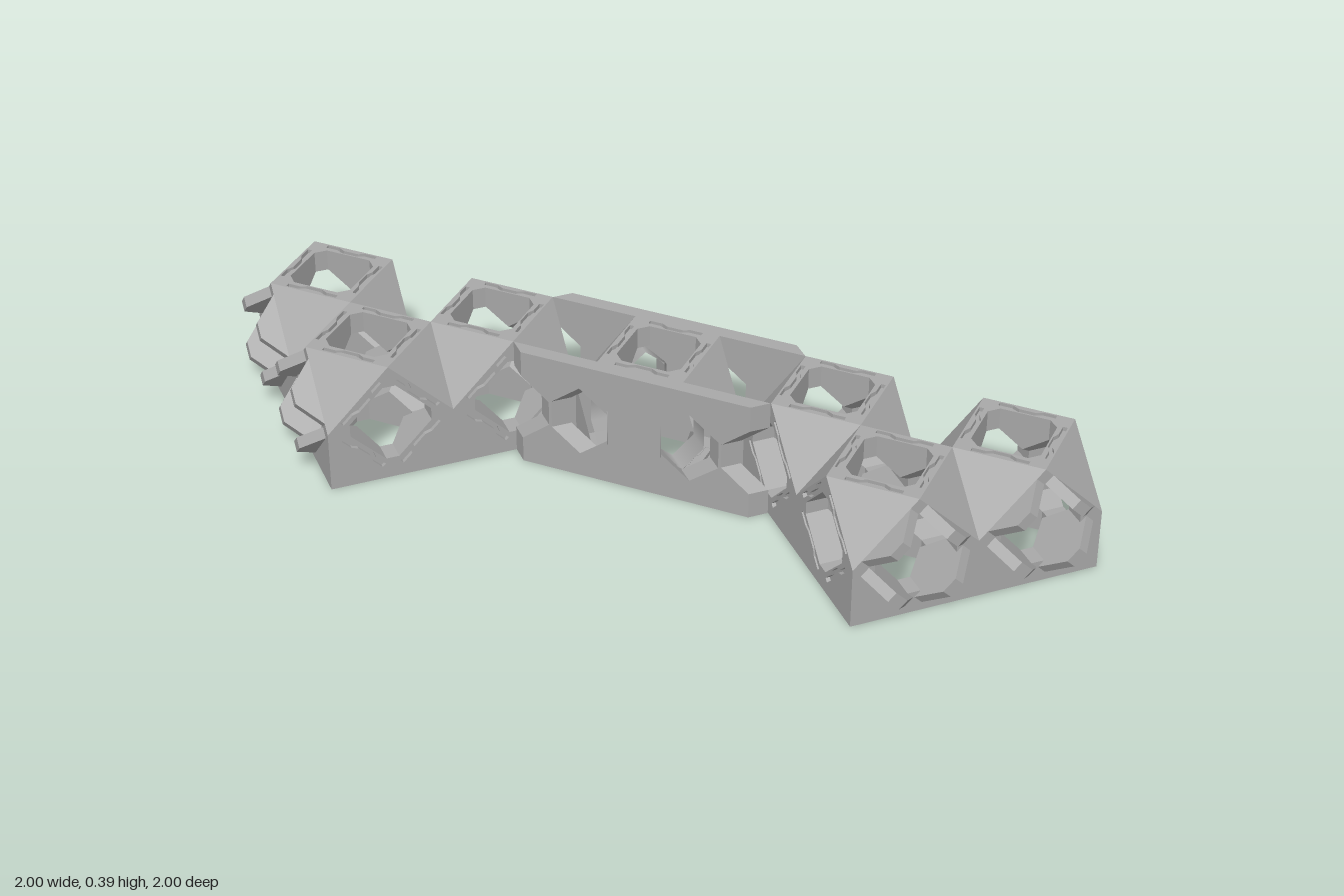
import * as THREE from 'three';

const H = 0.193;            // half width of a cell
const D = 0.145, C = 0.125; // tunnel section: |x|+|y| < D with its tips cut at C
const T = D - C;
const WALL = 0.044;         // side wall thickness

const grey = new THREE.MeshStandardMaterial({ color: 0xa8a8a8, side: THREE.DoubleSide });
grey.name = 'grey';

// Flat-sided surface from convex polygons
function polys(list) {
  const pos = [];
  for (const p of list)
    for (let i = 1; i < p.length - 1; i++) pos.push(...p[0], ...p[i], ...p[i + 1]);
  const g = new THREE.BufferGeometry();
  g.setAttribute('position', new THREE.Float32BufferAttribute(pos, 3));
  g.computeVertexNormals();
  return g;
}

const pts = (a) => a.map(([x, y]) => new THREE.Vector2(x, y));
const quarter = ([x, y], k) => [[x, y], [-y, x], [-x, -y], [y, -x]][k];

// Diamond frame outline with an eight-sided opening
function diamond() {
  const s = new THREE.Shape(pts([[H, 0], [0, H], [-H, 0], [0, -H]]));
  const hole = [];
  for (let k = 0; k < 4; k++) hole.push(quarter([C, -T], k), quarter([C, T], k));
  s.holes.push(new THREE.Path(pts(hole)));
  return s;
}

// Frame with a wavy groove along each of its four edges
function frameGeometry() {
  const s = diamond();
  const wave = [[-0.085, 0.005], [-0.045, 0.005], [-0.025, -0.005], [0.025, -0.005], [0.045, 0.005], [0.085, 0.005]];
  const at = (u, r) => [(r + u) * Math.SQRT1_2, (r - u) * Math.SQRT1_2];
  const loop = [
    ...wave.map(([u, w]) => at(u, 0.119 + w - 0.007)),
    ...wave.slice().reverse().map(([u, w]) => at(u, 0.119 + w + 0.007)),
  ];
  for (let k = 0; k < 4; k++) s.holes.push(new THREE.Path(pts(loop.map((p) => quarter(p, k)))));
  return new THREE.ExtrudeGeometry(s, { depth: 0.014, bevelEnabled: false }).translate(0, 0, H - 0.014);
}

// Tunnel sides, running from the face to where the three tunnels meet
function tunnelGeometry() {
  const list = [];
  const side = [[T, C, H], [C, T, H], [C, T, C], [D / 2, D / 2, D / 2], [T, C, C]];
  const tip = [[C, T, H], [C, -T, H], [C, -T, C], [C, T, C]];
  for (let k = 0; k < 4; k++)
    for (const p of [side, tip]) list.push(p.map(([x, y, z]) => [...quarter([x, y], k), z]));
  return polys(list);
}

// Sloped upper corner and square lower corner
const cornerGeometry = () => polys([
  [[0, H, H], [H, 0, H], [H, H, 0]],
  [[0, -H, H], [H, -H, 0], [H, -H, H]],
  [[0, -H, H], [H, -H, H], [H, 0, H]],
  [[H, -H, H], [H, -H, 0], [H, 0, H]],
]);

// Tapered connector tooth standing on one edge of a frame
function toothGeometry() {
  const s = new THREE.Shape(pts([[-0.1, 0], [0.1, 0], [0.025, 0.069], [-0.025, 0.069]]));
  return new THREE.ExtrudeGeometry(s, { depth: 0.034, bevelEnabled: false })
    .rotateX(Math.PI / 2).translate(0, 0.1365, 0)
    .rotateZ(-Math.PI / 4).translate(0, 0, H);
}

// Diagonal wall: openings follow the tunnels, so they slant through its thickness
function wallGeometry() {
  const E = 0.364, N = 0.276;
  const s = new THREE.Shape(pts([
    [-E, -H], [E, -H], [E, -0.11], [N, -0.04], [N, 0.04], [E, 0.11],
    [E, H], [-E, H], [-E, 0.11], [-N, 0.04], [-N, -0.04], [-E, -0.11],
  ]));
  for (const c of [-0.176, 0.176])
    s.holes.push(new THREE.Path(pts([
      [c, 0.115], [c + 0.091, 0.045], [c + 0.091, -0.045], [c, -0.115], [c - 0.091, -0.045], [c - 0.091, 0.045],
    ])));
  const g = new THREE.ExtrudeGeometry(s, { depth: WALL, bevelEnabled: false });
  const p = g.attributes.position;
  for (let i = 0; i < p.count; i++) {
    if (p.getZ(i) > WALL / 2) continue;
    const x = p.getX(i);
    p.setX(i, x + Math.sign(x) * (Math.abs(x) < 0.27 ? -WALL : WALL));
  }
  g.computeVertexNormals();
  return g;
}

// Six faces: direction and the rotation that turns +z to it
const Q = Math.PI / 2;
const FACES = [
  { d: [0, 0, 1], r: [0, 0] }, { d: [0, 0, -1], r: [0, 2 * Q] },
  { d: [1, 0, 0], r: [0, Q] }, { d: [-1, 0, 0], r: [0, -Q] },
  { d: [0, 1, 0], r: [-Q, 0] }, { d: [0, -1, 0], r: [Q, 0] },
];

// Cell positions in steps from the middle cell, and the faces that carry teeth
const CELLS = [
  { x: -2, z: -2, teeth: 3 }, { x: -2, z: -1, teeth: 3 }, { x: -1, z: -1 },
  { x: 0, z: 0, middle: true },
  { x: 1, z: 1 }, { x: 1, z: 2, teeth: 0 }, { x: 2, z: 2, teeth: 0 },
];

export function createModel() {
  const model = new THREE.Group();
  model.name = 'modularLattice';
  const add = (parent, geometry, name) => {
    const m = new THREE.Mesh(geometry, grey);
    m.name = name;
    parent.add(m);
    return m;
  };
  const frame = frameGeometry(), tunnel = tunnelGeometry(), corner = cornerGeometry(), tooth = toothGeometry();
  const floor = new THREE.ShapeGeometry(diamond()).translate(0, 0, H - 0.013);

  for (const c of CELLS) {
    const cell = new THREE.Group();
    cell.name = c.middle ? 'middleCell' : 'cell';
    cell.position.set(0.034 + c.x * 2 * H, H, -0.035 + c.z * 2 * H);
    model.add(cell);

    FACES.forEach(({ d, r }, i) => {
      if (c.middle && d[1] === 0) return;
      const face = new THREE.Group();
      face.name = 'face';
      face.rotation.set(r[0], r[1], 0);
      cell.add(face);
      add(face, tunnel, 'tunnel');
      const joined = d[1] === 0 && CELLS.some((o) => o.x === c.x + d[0] && o.z === c.z + d[2]);
      if (joined) return;
      add(face, frame, 'frame');
      add(face, floor, 'grooveFloor');
      if (c.teeth === i)
        for (let k = 0; k < 4; k++) add(face, tooth, 'connectorTooth').rotation.z = k * Q;
    });

    // The middle cell keeps only the corners in line with the walls
    for (let k = 0; k < 4; k++)
      if (!c.middle || k % 2 === 0) add(cell, corner, 'corner').rotation.y = k * Q;

    // Diagonal side walls and the short tunnels behind their openings
    if (c.middle) {
      const wall = wallGeometry();
      for (const a of [0.75 * Math.PI, -0.25 * Math.PI]) {
        const w = add(cell, wall, 'sideWall');
        w.rotation.y = a;
        w.position.set(Math.sin(a), 0, Math.cos(a)).multiplyScalar(H * Math.SQRT1_2);
      }
      const sleeve = new THREE.CylinderGeometry(1, 1, 0.08, 6, 1, true)
        .rotateX(Q).scale(0.078, 0.115, 1).translate(0, 0, 0.15);
      for (let k = 0; k < 4; k++) add(cell, sleeve, 'sleeve').rotation.y = k * Q;
    }
  }
  return model;
}
